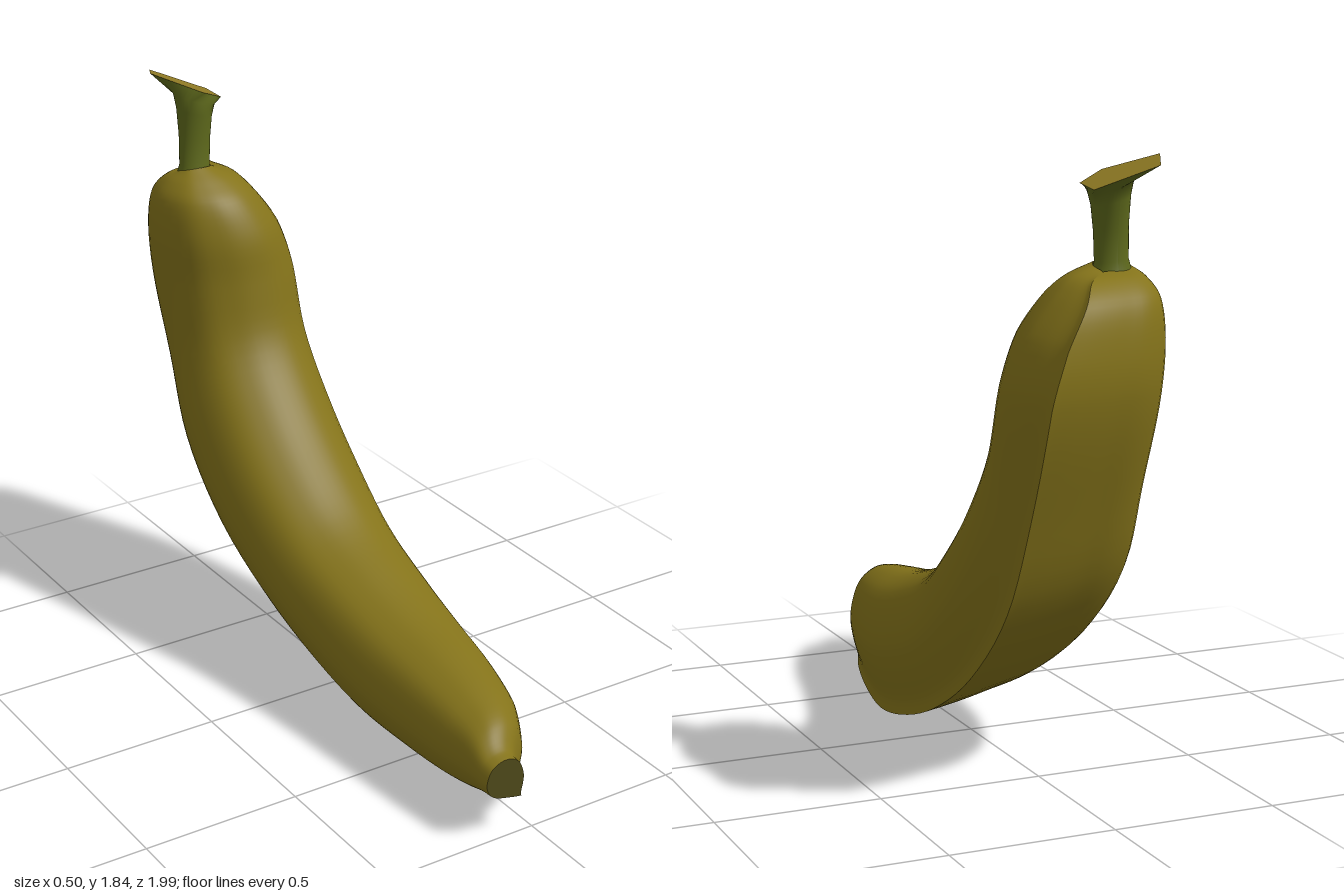
import * as THREE from 'three';

const V = (x, y, z) => new THREE.Vector3(x, y, z);
const COLS = 40;

// Skin a list of rings; the seam stays open so that it reads as a sharp edge
function loft(name, rings, color) {
  const n = rings[0].length, index = [];
  for (let i = 0; i < rings.length - 1; i++) {
    for (let j = 0; j < n - 1; j++) {
      const a = i * n + j, c = a + n;
      index.push(a, c, a + 1, a + 1, c, c + 1);
    }
  }
  const geo = new THREE.BufferGeometry().setFromPoints(rings.flat());
  geo.setIndex(index);
  geo.computeVertexNormals();
  const mesh = new THREE.Mesh(geo, new THREE.MeshStandardMaterial({ color, side: THREE.DoubleSide }));
  mesh.name = name;
  return mesh;
}

const centreRing = (ring) => {
  const c = V(0, 0, 0);
  ring.slice(1).forEach((p) => c.add(p));
  c.divideScalar(ring.length - 1);
  return ring.map(() => c.clone());
};

// Body stations from tip to neck: inner z, y / outer z, y / x min, x max
const stations = [
  [1.0, 0.26, 1.0, 0.12, -0.165, -0.035],
  [0.965, 0.27, 0.96, 0.115, -0.168, -0.03],
  [0.9, 0.32, 0.88, 0.07, -0.172, 0.04],
  [0.8, 0.35, 0.74, 0.03, -0.182, 0.11],
  [0.62, 0.385, 0.52, 0.007, -0.195, 0.165],
  [0.42, 0.42, 0.31, 0.005, -0.207, 0.2],
  [0.22, 0.475, 0.08, 0.05, -0.217, 0.22],
  [0.0, 0.56, -0.2, 0.15, -0.23, 0.235],
  [-0.17, 0.69, -0.51, 0.33, -0.25, 0.247],
  [-0.33, 0.85, -0.76, 0.58, -0.25, 0.245],
  [-0.45, 1.02, -0.885, 0.87, -0.235, 0.23],
  [-0.49, 1.2, -0.99, 1.19, -0.245, 0.22],
  [-0.51, 1.35, -0.985, 1.34, -0.25, 0.17],
  [-0.56, 1.46, -0.94, 1.45, -0.235, 0.09],
  [-0.62, 1.51, -0.86, 1.508, -0.2, 0.03],
  [-0.685, 1.55, -0.775, 1.525, -0.16, -0.05],
];

// Cross-section from ridge to ridge: x across (-1..1), y from outer (0) to inner (1)
const section = new THREE.CatmullRomCurve3([
  V(0.9, 0, 0), V(0.88, 0.1, 0), V(0.97, 0.3, 0), V(1, 0.5, 0), V(0.78, 0.81, 0),
  V(0.4, 0.96, 0), V(0, 1, 0), V(-0.4, 0.96, 0), V(-0.8, 0.82, 0), V(-1, 0.53, 0),
  V(-0.85, 0.3, 0), V(-0.5, 0.16, 0), V(0, 0.09, 0), V(0.5, 0.035, 0), V(0.9, 0, 0),
], false, 'centripetal').getPoints(56);

function bodyRings() {
  const rail = (f) => new THREE.CatmullRomCurve3(stations.map(f));
  const inner = rail((s) => V(0, s[1], s[0]));
  const outer = rail((s) => V(0, s[3], s[2]));
  const sides = rail((s, i) => V(s[4], s[5], i * 0.1));
  const rings = [], steps = (stations.length - 1) * 5;
  for (let i = 0; i <= steps; i++) {
    const t = i / steps;
    const a = outer.getPoint(t), b = inner.getPoint(t), w = sides.getPoint(t);
    rings.push(section.map((p) => {
      const q = a.clone().lerp(b, p.y);
      q.x = THREE.MathUtils.lerp(w.x, w.y, (p.x + 1) / 2);
      return q;
    }));
  }
  return rings;
}

// Stem: round neck flaring into a slanted, pointed cut
function stemRings() {
  const oval = (y, cx, cz, rx, rz) => Array.from({ length: COLS + 1 }, (_, j) => {
    const a = (j / COLS) * Math.PI * 2;
    return V(cx + rx * Math.sin(a), y, cz - rz * Math.cos(a));
  });
  const corners = [[-0.16, -0.91], [0, -0.83], [-0.02, -0.7], [-0.1, -0.675], [-0.215, -0.8]];
  const cut = Array.from({ length: COLS + 1 }, (_, j) => {
    const s = (j / COLS) * 5, k = Math.floor(s) % 5, f = s % 1;
    const [x0, z0] = corners[k], [x1, z1] = corners[(k + 1) % 5];
    const x = x0 + (x1 - x0) * f, z = z0 + (z1 - z0) * f;
    return V(x, 1.76 - 0.42 * (x + 0.01), z);
  });
  const low = [
    oval(1.5, -0.105, -0.73, 0.065, 0.055),
    oval(1.55, -0.105, -0.73, 0.05, 0.04),
    oval(1.64, -0.1, -0.735, 0.05, 0.046),
    oval(1.72, -0.095, -0.742, 0.055, 0.058),
    oval(1.76, -0.093, -0.746, 0.063, 0.068),
  ];
  // Tilt the upper rings toward the slant of the cut
  low.forEach((ring, i) => ring.forEach((p) => { p.y -= 0.09 * i * (p.x + 0.1); }));
  return [...low, cut];
}

export function createModel() {
  const group = new THREE.Group();
  group.name = 'banana';
  const body = bodyRings(), stem = stemRings();
  const tip = body[0], cut = stem[stem.length - 1];
  group.add(
    loft('peel', body, 0x84731a),
    loft('tipEnd', [centreRing(tip), tip], 0x4f4a1a),
    loft('stem', stem, 0x5f6a1c),
    loft('stemCut', [cut, centreRing(cut)], 0x8f7a24),
  );
  return group;
}
